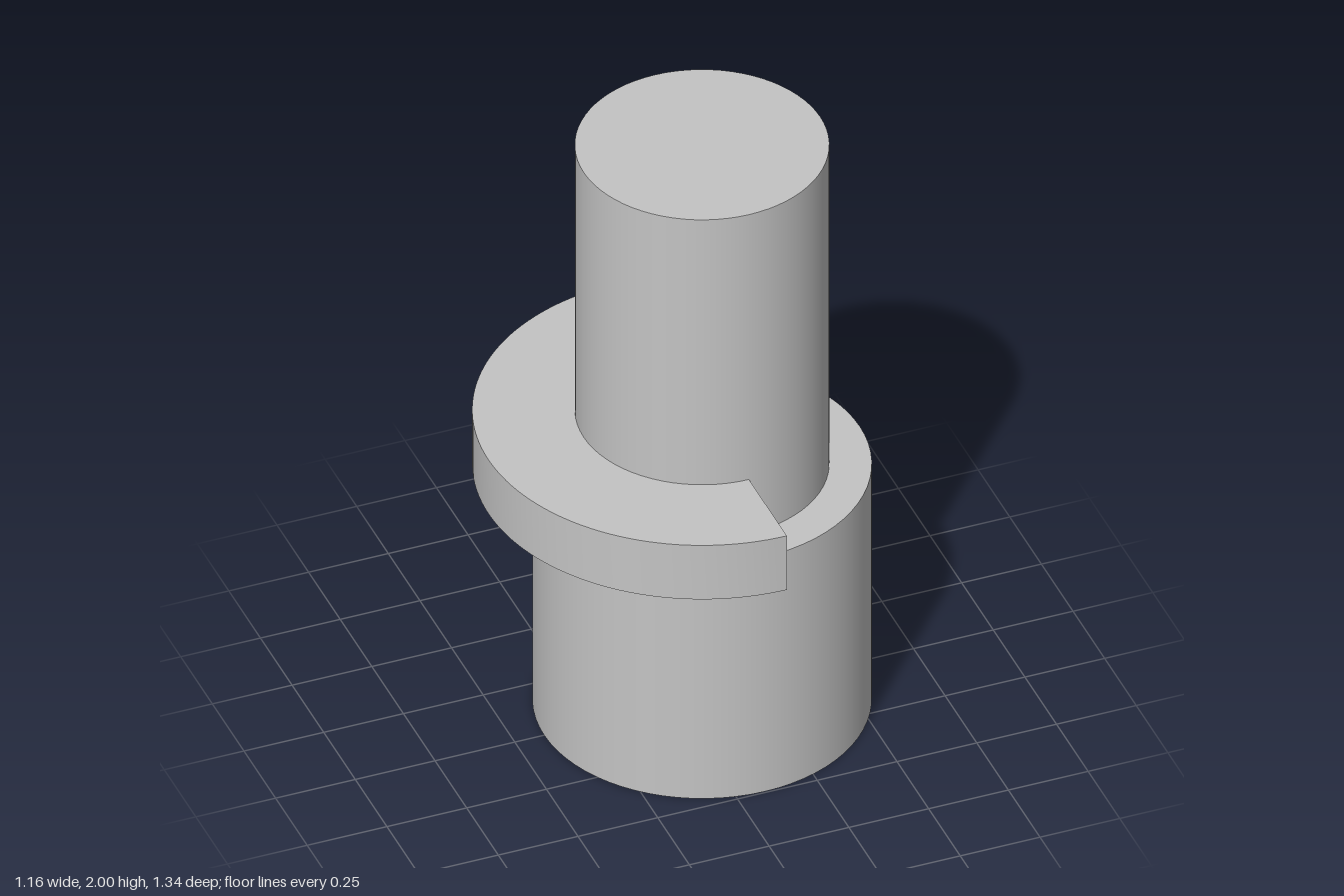
import * as THREE from 'three';
import { toCreasedNormals } from 'three/addons/utils/BufferGeometryUtils.js';

const AXIS_X = 0.087; // shared axis of all parts
const BASE_TOP = 0.848, COLLAR_TOP = 1.043, TOP = 2;
const BASE_R = 0.495, SHAFT_R = 0.371, COLLAR_R = 0.67;

export function createModel() {
  const group = new THREE.Group();
  group.name = 'steppedShaft';

  const metal = new THREE.MeshStandardMaterial({ color: 0xc4c4c4 });
  metal.name = 'plain grey';

  const add = (name, geometry, y) => {
    const mesh = new THREE.Mesh(geometry, metal);
    mesh.name = name;
    mesh.position.set(AXIS_X, y, 0);
    group.add(mesh);
  };

  // Wide lower cylinder and narrower shaft above it
  const cylinder = (name, radius, bottom, top) =>
    add(name, new THREE.CylinderGeometry(radius, radius, top - bottom, 72), (bottom + top) / 2);
  cylinder('base', BASE_R, 0, BASE_TOP);
  cylinder('shaft', SHAFT_R, BASE_TOP, TOP);

  // Half-ring collar on the -x side, its inner edge sunk slightly into the shaft
  const half = new THREE.Shape();
  half.absarc(0, 0, COLLAR_R, Math.PI / 2, Math.PI * 1.5, false);
  half.absarc(0, 0, SHAFT_R - 0.01, Math.PI * 1.5, Math.PI / 2, true);
  half.closePath();
  const collar = new THREE.ExtrudeGeometry(half, {
    depth: COLLAR_TOP - BASE_TOP, bevelEnabled: false, curveSegments: 36,
  });
  collar.rotateX(-Math.PI / 2);
  add('halfCollar', toCreasedNormals(collar, Math.PI / 6), BASE_TOP);

  return group;
}
